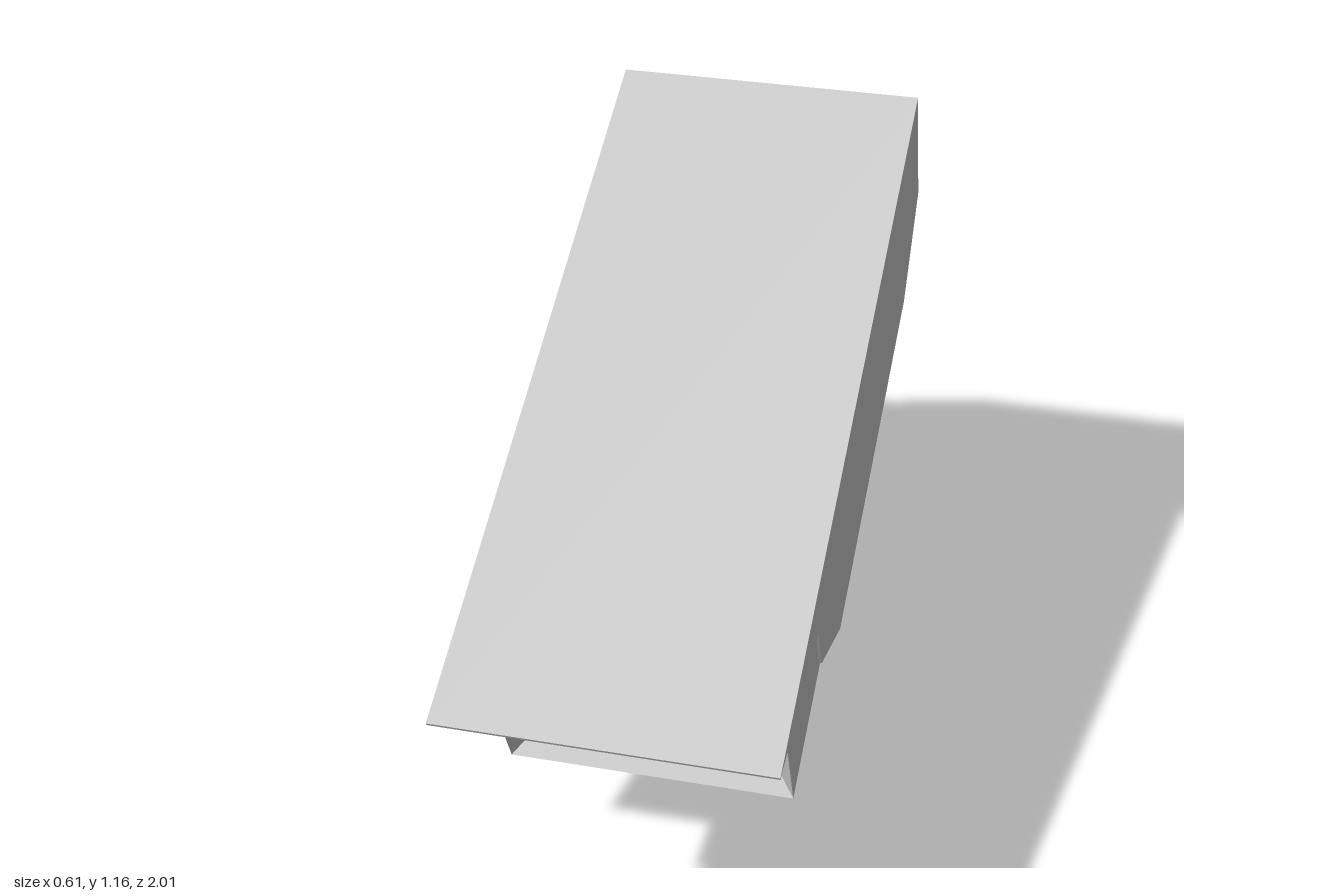
import * as THREE from 'three';

const mat = new THREE.MeshStandardMaterial({ color: 0xcccccc, side: THREE.DoubleSide });
const V = (x, y, z) => new THREE.Vector3(x, y, z);

function add(parent, name, geo, x = 0, y = 0, z = 0) {
  const mesh = new THREE.Mesh(geo, mat);
  mesh.name = name;
  mesh.position.set(x, y, z);
  parent.add(mesh);
  return mesh;
}

// Side profile given as [z, y], extruded across x and centred on it
function sideExtrude(profile, width) {
  const shape = new THREE.Shape(profile.map(([z, y]) => new THREE.Vector2(z, y)));
  const geo = new THREE.ExtrudeGeometry(shape, { depth: width, bevelEnabled: false });
  return geo.rotateY(-Math.PI / 2).translate(width / 2, 0, 0);
}

// Skin joining rectangular loops [halfWidth, bottom, top, z], flat faced
function rectLoft(loops) {
  const pos = [];
  const rings = loops.map(([w, b, t, z]) => [[-w, b, z], [w, b, z], [w, t, z], [-w, t, z]]);
  for (let i = 0; i < rings.length - 1; i++) {
    for (let j = 0; j < 4; j++) {
      const k = (j + 1) % 4;
      const a = rings[i][j], b = rings[i][k], c = rings[i + 1][k], d = rings[i + 1][j];
      pos.push(...a, ...b, ...c, ...a, ...c, ...d);
    }
  }
  const geo = new THREE.BufferGeometry();
  geo.setAttribute('position', new THREE.Float32BufferAttribute(pos, 3));
  geo.computeVertexNormals();
  return geo;
}

function rod(parent, name, from, to, radius) {
  const dir = to.clone().sub(from);
  const mesh = add(parent, name, new THREE.CylinderGeometry(radius, radius, dir.length(), 24));
  mesh.position.copy(from).addScaledVector(dir, 0.5);
  mesh.quaternion.setFromUnitVectors(V(0, 1, 0), dir.normalize());
}

// Disc with a softened rim, axis along z
function disc(radius, depth, bevel) {
  const h = depth / 2;
  const pts = [[0, -h], [radius - bevel, -h], [radius - bevel, -h], [radius, -h + bevel], [radius, -h + bevel],
    [radius, h - bevel], [radius, h - bevel], [radius - bevel, h], [radius - bevel, h], [0, h]];
  return new THREE.LatheGeometry(pts.map(([r, y]) => new THREE.Vector2(r, y)), 64).rotateX(Math.PI / 2);
}

export function createModel() {
  const model = new THREE.Group();
  model.name = 'securityCamera';

  // Tilted camera head: local z runs forward along the housing
  const head = new THREE.Group();
  head.name = 'cameraHead';
  head.rotation.x = 0.367;
  model.add(head);

  // Housing with chamfered rear underside, and the funnel-shaped front recess
  const bottom = 0.471, top = 0.88;
  add(head, 'housing', sideExtrude(
    [[0.43, bottom], [0.43, top], [-0.798, top], [-0.798, 0.632], [-0.575, bottom]], 0.55));
  add(head, 'frontRecess', rectLoft([
    [0.275, bottom, top, 0.43], [0.275, bottom, top, 0.552], [0.176, 0.54, 0.803, 0.432]]));

  // Sunshield: roof sheet and two cut side sheets
  const sheet = 0.006;
  add(head, 'sunshieldRoof', new THREE.BoxGeometry(0.614, sheet, 1.519), 0, 0.927, -0.0445);
  const sideProfile = [[0.715, 0.928], [0.379, 0.816], [0.376, 0.694], [0.21, 0.522],
    [-0.598, 0.515], [-0.804, 0.631], [-0.804, 0.928]];

  for (const s of [-1, 1]) {
    add(head, 'sunshieldSide', sideExtrude(sideProfile, sheet), s * 0.304, 0, 0);
    // Fixing strip, its screws and the rail underneath
    add(head, 'fixingStrip', new THREE.BoxGeometry(0.008, 0.05, 0.8), s * 0.278, 0.497, -0.18);
    for (const z of [-0.42, -0.02]) {
      add(head, 'stripScrew', new THREE.SphereGeometry(0.01, 12, 8), s * 0.282, 0.505, z);
    }
    add(head, 'bottomRail', new THREE.BoxGeometry(0.012, 0.012, 0.95), s * 0.232, 0.467, -0.085);
  }

  // Cover plates and screws on the underside
  add(head, 'frontCoverPlate', new THREE.BoxGeometry(0.36, 0.02, 0.26), 0, 0.463, 0.21);
  add(head, 'rearCoverPlate', new THREE.BoxGeometry(0.23, 0.018, 0.135), -0.07, 0.462, -0.508);
  const screws = [[0.15, 0.452, 0.31], [-0.14, 0.452, 0.27], [0.04, 0.452, 0.12], [0.11, 0.468, -0.05],
    [-0.03, 0.452, -0.5], [-0.11, 0.452, -0.47], [-0.11, 0.452, -0.54]];
  screws.forEach(([x, y, z], i) => {
    const r = i < 4 ? 0.018 : 0.01;
    add(head, 'undersideScrew', new THREE.CylinderGeometry(r, r * 0.8, 0.01, 16), x, y, z);
  });

  // Domed socket under the housing
  const socket = add(head, 'mountSocket', new THREE.SphereGeometry(0.056, 32, 20), -0.016, 0.465, -0.195);
  socket.scale.y = 0.75;

  // Ball joint with its two arms
  const mx = -0.016;
  add(model, 'ballJoint', new THREE.SphereGeometry(0.074, 40, 28), mx, 0.195, -0.134);
  rod(model, 'upperArm', V(mx, 0.195, -0.134), V(mx, 0.505, -0.015), 0.021);
  rod(model, 'wallArm', V(mx, 0.179, -0.134), V(mx, 0.179, -0.72), 0.019);

  // Wall mount
  add(model, 'wallCollar', disc(0.09, 0.056, 0.003), mx, 0.177, -0.727);
  add(model, 'wallPlate', disc(0.176, 0.048, 0.006), mx, 0.177, -0.778);

  // Coiling cable from the rear of the housing past the wall plate
  const path = [
    [-0.12, 0.74, -0.42], [-0.11, 0.69, -0.485], [-0.15, 0.65, -0.46], [-0.2, 0.66, -0.405],
    [-0.225, 0.675, -0.455], [-0.23, 0.6, -0.483], [-0.23, 0.5, -0.46], [-0.2, 0.425, -0.437],
    [-0.16, 0.405, -0.48], [-0.19, 0.425, -0.52], [-0.235, 0.45, -0.49], [-0.24, 0.37, -0.485],
    [-0.235, 0.28, -0.52], [-0.24, 0.21, -0.555], [-0.24, 0.2, -0.59], [-0.2, 0.243, -0.635],
    [-0.16, 0.205, -0.665], [-0.22, 0.19, -0.7], [-0.237, 0.165, -0.75], [-0.222, 0.1, -0.795],
    [-0.225, 0.045, -0.82], [-0.24, 0.055, -0.865], [-0.225, 0.105, -0.888], [-0.165, 0.095, -0.903],
    [-0.16, 0.062, -0.925], [-0.2, 0.035, -0.955], [-0.225, 0.014, -0.993]];
  const curve = new THREE.CatmullRomCurve3(path.map((p) => V(...p)));
  add(model, 'cable', new THREE.TubeGeometry(curve, 240, 0.0125, 12));
  add(model, 'cableEnd', new THREE.SphereGeometry(0.0125, 12, 8), ...path[path.length - 1]);

  return model;
}
